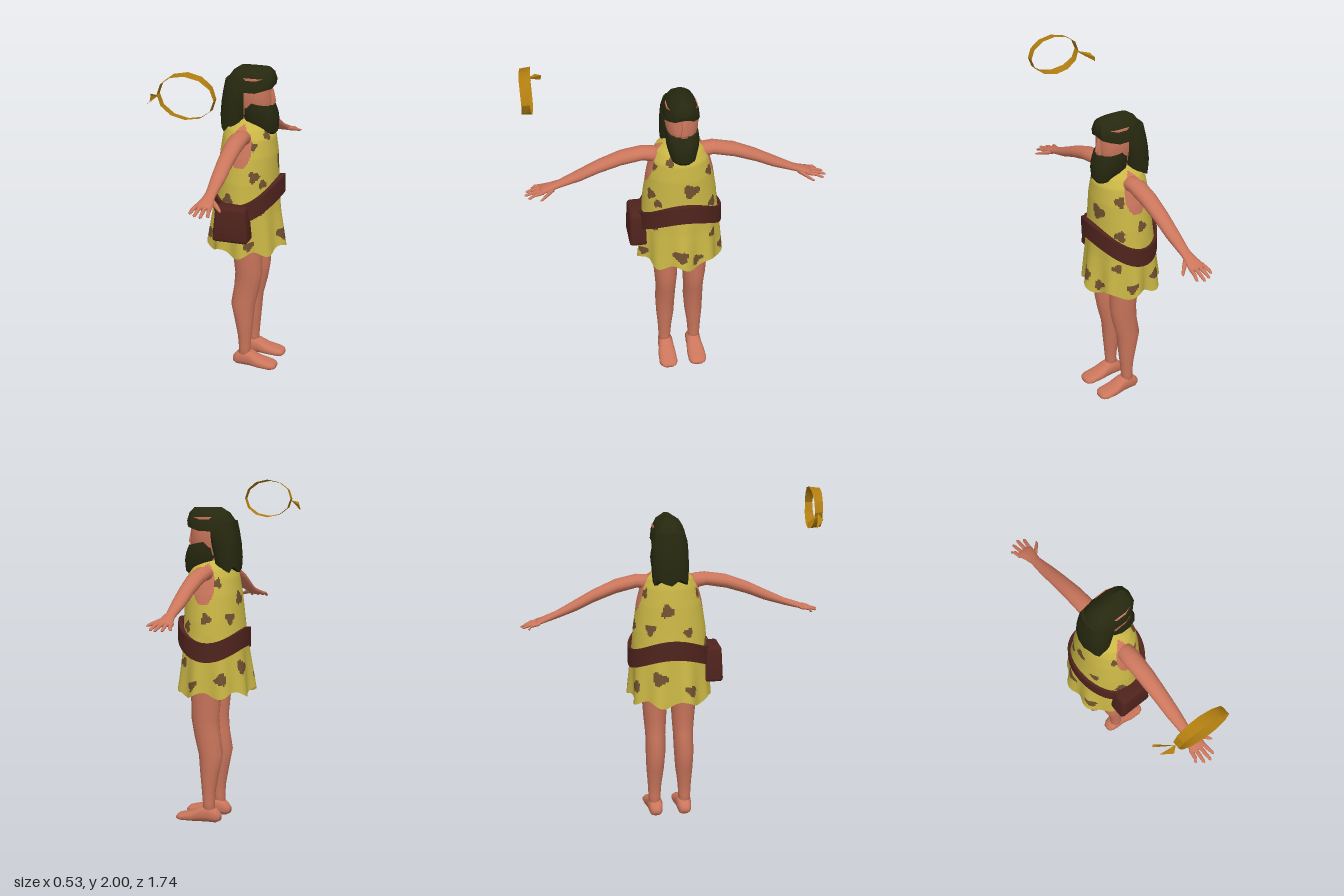
import * as THREE from 'three';
import { toCreasedNormals } from 'three/addons/utils/BufferGeometryUtils.js';
import { RoundedBoxGeometry } from 'three/addons/geometries/RoundedBoxGeometry.js';

const paint = (name, color, extra = {}) => {
  const m = new THREE.MeshStandardMaterial({ color, ...extra });
  m.name = name;
  return m;
};

// Closed skin over elliptical rings [cx, cy, cz, r1, r2]; p < 1 makes rings squarer.
function loft(rings, axis, sides = 14, p = 1) {
  const pos = [], idx = [];
  const pw = (v) => Math.sign(v) * Math.abs(v) ** p;
  for (const [cx, cy, cz, r1, r2] of rings) {
    for (let i = 0; i < sides; i++) {
      const a = (i / sides) * Math.PI * 2;
      const u = r1 * pw(Math.cos(a)), v = r2 * pw(Math.sin(a));
      if (axis === 'y') pos.push(cx + u, cy, cz + v);
      else if (axis === 'z') pos.push(cx + u, cy + v, cz);
      else pos.push(cx, cy + u, cz + v);
    }
  }
  const n = rings.length;
  for (let j = 0; j < n - 1; j++) for (let i = 0; i < sides; i++) {
    const a = j * sides + i, b = j * sides + (i + 1) % sides;
    idx.push(a, a + sides, b, b, a + sides, b + sides);
  }
  for (const [j, flip] of [[0, false], [n - 1, true]]) {
    const c = pos.length / 3, o = j * sides;
    pos.push(...rings[j].slice(0, 3));
    for (let i = 0; i < sides; i++) {
      const q = o + (i + 1) % sides;
      idx.push(c, flip ? q : o + i, flip ? o + i : q);
    }
  }
  // turn faces outward whichever way the rings run
  let vol = 0;
  const V = (k) => new THREE.Vector3().fromArray(pos, idx[k] * 3);
  for (let k = 0; k < idx.length; k += 3) vol += V(k).dot(V(k + 1).cross(V(k + 2)));
  if (vol < 0) idx.reverse();
  return surface(pos, idx);
}

function surface(pos, idx) {
  const g = new THREE.BufferGeometry();
  g.setAttribute('position', new THREE.Float32BufferAttribute(pos, 3));
  g.setIndex(idx);
  g.computeVertexNormals();
  return g;
}

function reshape(g, rule) {
  const p = g.attributes.position, v = new THREE.Vector3();
  for (let i = 0; i < p.count; i++) {
    rule(v.fromBufferAttribute(p, i), i);
    p.setXYZ(i, v.x, v.y, v.z);
  }
  g.computeVertexNormals();
  return g;
}

// Tunic profile: height, back x, front x, half width
const PROFILE = [
  [0.78, -0.195, 0.245, 0.24], [1.0, -0.168, 0.218, 0.228], [1.2, -0.145, 0.205, 0.212],
  [1.35, -0.13, 0.2, 0.19], [1.45, -0.115, 0.188, 0.165], [1.5, -0.1, 0.16, 0.135],
  [1.53, -0.05, 0.12, 0.09], [1.545, -0.01, 0.09, 0.055]];

function tunicPoint(a, y, out = 0) {
  let k = 0;
  while (k < PROFILE.length - 2 && y > PROFILE[k + 1][0]) k++;
  const A = PROFILE[k], B = PROFILE[k + 1], t = (y - A[0]) / (B[0] - A[0]);
  const [, x0, x1, hz] = A.map((v, i) => v + (B[i] - v) * t);
  const w = THREE.MathUtils.clamp((1.12 - y) / 0.34, 0, 1);
  const r = out || w * (0.013 * Math.cos(9 * a) + 0.007 * Math.sin(5 * a + 1));
  return [(x0 + x1) / 2 + ((x1 - x0) / 2 + r) * Math.cos(a),
    y + w * w * 0.018 * Math.sin(7 * a), -0.012 + (hz + r) * Math.sin(a)];
}

// Spots: angle round the body, height, size
const SPOTS = [
  [-0.2, 1.29, 0.048], [0.5, 1.47, 0.03], [0.75, 1.2, 0.028], [0.85, 1.04, 0.03], [0.1, 0.86, 0.04],
  [-0.85, 0.96, 0.03], [-0.35, 0.83, 0.03], [1.2, 0.83, 0.03], [1.05, 1.245, 0.036], [1.9, 1.11, 0.035],
  [1.1, 1.42, 0.025], [2.05, 1.41, 0.03], [2.7, 0.86, 0.035], [3.3, 1.33, 0.04], [3.8, 1.22, 0.035],
  [2.7, 1.2, 0.03], [4.2, 1.42, 0.03], [3.5, 0.94, 0.04], [4.2, 0.88, 0.035], [4.6, 1.22, 0.035],
  [5.3, 1.38, 0.035], [5.0, 0.84, 0.03], [5.35, 1.17, 0.035]];

function tunicGeometry() {
  const NA = 144, NY = 84, pos = [], lists = [[], [], []];
  for (let j = 0; j <= NY; j++) for (let i = 0; i < NA; i++)
    pos.push(...tunicPoint((i / NA) * Math.PI * 2, 0.78 + 0.765 * j / NY));
  const kind = (a, y) => {
    const x = 0.03 + 0.17 * Math.cos(a);
    if (((x - 0.03) / 0.068) ** 2 + ((y - 1.41) / 0.115) ** 2 < 1) return 2; // armholes
    for (const [sa, sy, r] of SPOTS) {
      const d = Math.atan2(Math.sin(a - sa), Math.cos(a - sa)) * 0.21, e = y - sy;
      const th = Math.atan2(e, d);
      if (Math.hypot(d, e * 1.15) < r * (1 + 0.2 * Math.sin(3 * th + sa * 5))) return 1;
    }
    return 0;
  };
  for (let j = 0; j < NY; j++) for (let i = 0; i < NA; i++) {
    const p = j * NA + i, q = j * NA + (i + 1) % NA;
    const k = kind(((i + 0.5) / NA) * Math.PI * 2, 0.78 + 0.765 * (j + 0.5) / NY);
    lists[k].push(p, p + NA, q, q, p + NA, q + NA);
  }
  const g = surface(pos, lists.flat());
  let start = 0;
  lists.forEach((l, k) => { g.addGroup(start, l.length, k); start += l.length; });
  return g;
}

export function createModel() {
  const model = new THREE.Group();
  model.name = 'caveman';
  const both = { side: THREE.DoubleSide };
  const skin = paint('skin', 0xcb765c), hair = paint('hair', 0x26280f);
  const hide = paint('yellowHide', 0xc9b645, both), spot = paint('brownSpots', 0x6f5030, both);
  const skinPatch = skin, leather = paint('leather', 0x50231d, both), gold = paint('gold', 0xb07d10, both);
  const add = (name, g, m) => {
    const mesh = new THREE.Mesh(g, m);
    mesh.name = name;
    model.add(mesh);
    return mesh;
  };
  const crease = (g) => toCreasedNormals(g, 0.6);

  add('tunic', tunicGeometry(), [hide, spot, skinPatch]);
  add('hips', loft([[0.05, 0.8, -0.012, 0.06, 0.08], [0.05, 0.86, -0.012, 0.1, 0.16],
    [0.03, 1.0, -0.012, 0.11, 0.16]], 'y'), skin);

  // Belt: flat band that rises at the front and back
  const bp = [], bi = [], N = 40;
  for (let i = 0; i < N; i++) {
    const a = (i / N) * Math.PI * 2, y = 1.08 + 0.025 * Math.cos(a) + 0.05 * Math.cos(2 * a);
    const out = 0.018 + 0.014 * Math.max(0, Math.cos(a));
    for (const [dy, o] of [[-0.055, 0.002], [-0.055, out], [0.055, out], [0.055, 0.002]]) {
      const [x, , z] = tunicPoint(a, y, o);
      bp.push(x, y + dy, z);
    }
    for (let k = 0; k < 3; k++) {
      const p = i * 4 + k, q = ((i + 1) % N) * 4 + k;
      bi.push(p, p + 1, q, q, p + 1, q + 1);
    }
  }
  add('belt', crease(surface(bp, bi)), leather);

  const pouch = reshape(new RoundedBoxGeometry(0.21, 0.21, 0.11, 2, 0.02), (v) => {
    v.x *= 0.93 - v.y * 0.9;
    v.z *= 0.95 - v.y * 0.8;
  });
  add('pouch', crease(pouch), leather).position.set(0.01, 0.985, 0.235);

  // Arms, hands, legs and feet
  for (const s of [1, -1]) {
    const side = s > 0 ? 'left' : 'right', droop = s > 0 ? 0 : 0.06;
    const Y = (z, y) => y - droop * Math.max(0, z - 0.2);
    const limb = (rows) => loft(rows.map(([x, y, z, a, b]) => [x, Y(z, y), s * z, a, b]), 'z', 12);
    add(side + 'Arm', limb([[0.04, 1.45, 0.09, 0.04, 0.045], [0.04, 1.465, 0.14, 0.052, 0.045],
      [0.038, 1.475, 0.2, 0.054, 0.039], [0.038, 1.455, 0.32, 0.051, 0.041], [0.038, 1.41, 0.45, 0.045, 0.037],
      [0.038, 1.365, 0.55, 0.041, 0.033], [0.038, 1.318, 0.67, 0.03, 0.022], [0.038, 1.303, 0.72, 0.038, 0.019],
      [0.035, 1.29, 0.765, 0.05, 0.015], [0.033, 1.285, 0.785, 0.046, 0.011]]), skin);
    for (const [x0, x1, z1] of [[-0.005, -0.02, 0.83], [0.02, 0.014, 0.86], [0.045, 0.05, 0.87], [0.07, 0.084, 0.85]])
      add(side + 'Finger', limb([[x0, 1.287, 0.76, 0.012, 0.01], [(x0 + x1) / 2, 1.28, 0.81, 0.011, 0.009],
        [x1, 1.267, z1 - 0.01, 0.009, 0.007], [x1, 1.265, z1, 0.004, 0.003]]), skin);
    add(side + 'Thumb', limb([[0.058, 1.3, 0.7, 0.014, 0.013], [0.088, 1.29, 0.735, 0.016, 0.012],
      [0.12, 1.278, 0.77, 0.011, 0.008], [0.13, 1.275, 0.785, 0.004, 0.003]]), skin);

    const zc = (d = 0) => -0.01 + s * (0.088 + d);
    add(side + 'Leg', loft([[0.045, 0.95, zc(), 0.1, 0.08], [0.052, 0.8, zc(), 0.093, 0.079],
      [0.06, 0.62, zc(-0.003), 0.083, 0.068], [0.048, 0.52, zc(-0.004), 0.079, 0.06],
      [0.025, 0.41, zc(-0.002), 0.074, 0.059], [0.032, 0.3, zc(), 0.057, 0.053],
      [0.037, 0.2, zc(0.003), 0.042, 0.042], [0.037, 0.12, zc(0.004), 0.035, 0.037],
      [0.035, 0.05, zc(0.004), 0.04, 0.038]], 'y'), skin);
    add(side + 'Foot', loft([[-0.033, 0.035, zc(), 0.02, 0.025], [-0.01, 0.042, zc(), 0.039, 0.04],
      [0.03, 0.055, zc(), 0.052, 0.046], [0.075, 0.05, zc(), 0.048, 0.046], [0.13, 0.034, zc(0.002), 0.032, 0.054],
      [0.2, 0.025, zc(0.003), 0.023, 0.056], [0.225, 0.023, zc(0.002), 0.018, 0.045],
      [0.235, 0.02, zc(0.002), 0.01, 0.03]], 'x', 14, 0.8), skin);
  }

  // Head
  const hz = -0.017;
  add('neck', loft([[0.035, 1.48, hz, 0.06, 0.065], [0.045, 1.62, hz, 0.05, 0.055]], 'y'), skin);
  add('face', crease(loft([[0.07, 1.57, hz, 0.08, 0.07], [0.065, 1.65, hz, 0.105, 0.088],
    [0.065, 1.7, hz, 0.1, 0.092], [0.065, 1.79, hz, 0.1, 0.088]], 'y', 14, 0.8)), skin);
  add('nose', crease(loft([[0.168, 1.63, hz, 0.012, 0.02], [0.172, 1.65, hz, 0.018, 0.02],
    [0.165, 1.72, hz, 0.01, 0.01]], 'y', 6)), skin);
  const fringe = loft([[0.045, 1.72, hz, 0.14, 0.1], [0.05, 1.77, hz, 0.142, 0.092],
    [0.06, 1.815, hz, 0.12, 0.07], [0.07, 1.845, hz, 0.085, 0.022]], 'y', 14, 0.75);
  add('hairCap', crease(reshape(fringe, (v) => {
    if (v.y < 1.73) v.y += 0.015 - 0.25 * Math.abs(v.z - hz) + (v.x > 0.1 ? 0.012 : 0);
  })), hair);
  const mane = loft([[-0.03, 1.77, hz, 0.07, 0.085], [-0.028, 1.71, hz, 0.083, 0.103],
    [-0.042, 1.64, hz, 0.08, 0.107], [-0.055, 1.56, hz, 0.073, 0.107],
    [-0.06, 1.49, hz, 0.065, 0.102]], 'y', 16, 0.75);
  add('longHair', crease(reshape(mane, (v, i) => {
    if (v.y < 1.5) v.y += (i % 3) * 0.018 - 0.015;
  })), hair);
  const beard = loft([[0.095, 1.645, hz, 0.084, 0.088], [0.098, 1.6, hz, 0.1, 0.093],
    [0.105, 1.54, hz, 0.1, 0.087], [0.125, 1.48, hz, 0.076, 0.07], [0.135, 1.455, hz, 0.045, 0.04]], 'y', 14, 0.8);
  add('beard', crease(reshape(beard, (v) => {
    if (v.y > 1.58) v.y += 0.2 * (0.09 - v.x);
  })), hair);

  // Floating headband with a knot and two tails
  const hp = [], hi = [], M = 12;
  for (let i = 0; i < M; i++) {
    const a = (i / M) * Math.PI * 2, c = Math.cos(a), x = -0.033 + 0.155 * c, w = 0.022 + 0.009 * Math.sin(a) ** 2;
    for (const e of [-1, 1]) hp.push(x, 1.885 + (0.115 - 0.004 * e) * Math.sin(a), 0.813 + 0.07 * x + e * w);
    const p = i * 2, q = ((i + 1) % M) * 2;
    hi.push(p, q, p + 1, p + 1, q, q + 1);
  }
  add('headband', crease(surface(hp, hi)), gold);
  add('headbandTails', surface([-0.185, 1.875, 0.8, -0.265, 1.845, 0.715, -0.25, 1.865, 0.75,
    -0.185, 1.88, 0.795, -0.268, 1.812, 0.77, -0.215, 1.85, 0.82,
    -0.185, 1.875, 0.8, -0.27, 1.815, 0.72, -0.265, 1.845, 0.715], [0, 1, 2, 3, 4, 5, 6, 7, 8]), gold);
  return model;
}
